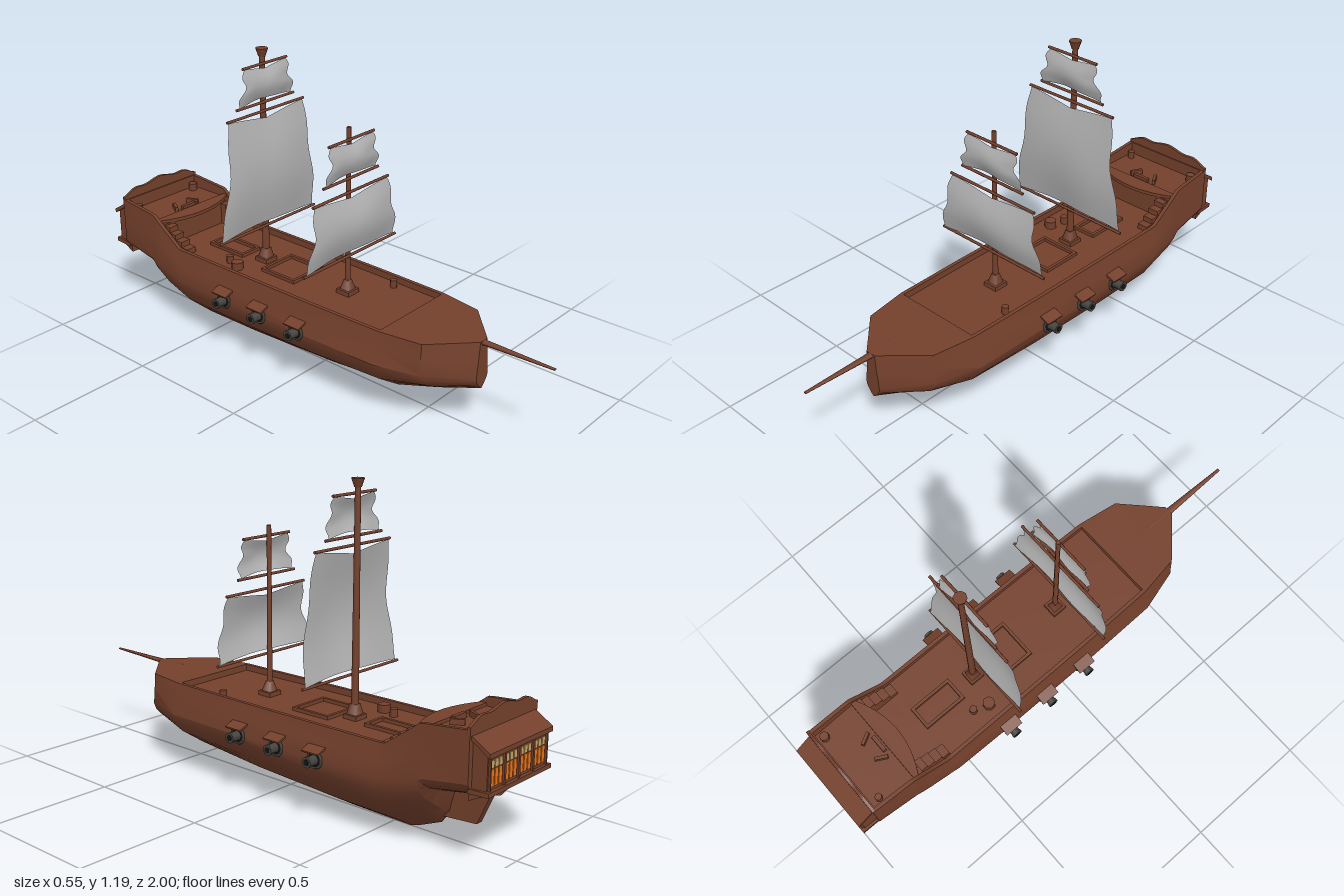
import * as THREE from 'three';
import { toCreasedNormals } from 'three/addons/utils/BufferGeometryUtils.js';

const material = (name, color, side = THREE.FrontSide) => {
  const m = new THREE.MeshStandardMaterial({ color, side });
  m.name = name;
  return m;
};

export function createModel() {
  const ship = new THREE.Group();
  ship.name = 'sailingShip';
  const wood = material('brownWood', 0x74402c);
  const canvas = material('greyCanvas', 0xb4b4b4, THREE.DoubleSide);
  const iron = material('darkIron', 0x45433e);
  const bore = material('blackBore', 0x151515);
  const glow = material('orangeGlass', 0xe8741c);
  const pale = material('paleGlass', 0xc9a468);

  const add = (name, geo, mat, x = 0, y = 0, z = 0, parent = ship) => {
    const m = new THREE.Mesh(geo, mat);
    m.name = name;
    m.position.set(x, y, z);
    parent.add(m);
    return m;
  };
  const box = (name, w, h, d, x, y, z, mat = wood) =>
    add(name, new THREE.BoxGeometry(w, h, d), mat, x, y, z);
  // Side outline given as (z, y), extruded across the ship
  const sidePlate = (name, pts, width) => {
    const s = new THREE.Shape(pts.map(([z, y]) => new THREE.Vector2(-z, y)));
    const g = new THREE.ExtrudeGeometry(s, { depth: width, bevelEnabled: false });
    g.translate(0, 0, -width / 2).rotateY(Math.PI / 2);
    return add(name, g, wood);
  };

  // Hull, bulwarks and decks: one loft from bow to stern
  // [z, keel y, widest y, rail y, deck y, widest half width, rail half width]
  const stations = [
    [0.72, 0.17, 0.22, 0.36, 0.36, 0.034, 0.02],
    [0.58, 0.12, 0.24, 0.36, 0.36, 0.175, 0.165],
    [0.41, 0.058, 0.24, 0.36, 0.36, 0.222, 0.192],
    [0.41, 0.058, 0.24, 0.36, 0.335, 0.222, 0.192],
    [0.1, 0.027, 0.24, 0.36, 0.335, 0.228, 0.198],
    [-0.3, 0.005, 0.24, 0.36, 0.335, 0.228, 0.2],
    [-0.57, 0.0, 0.24, 0.36, 0.335, 0.223, 0.2],
    [-0.6, 0.008, 0.245, 0.362, 0.335, 0.22, 0.2],
    [-0.7, 0.05, 0.26, 0.432, 0.335, 0.212, 0.2],
    [-0.7, 0.05, 0.26, 0.432, 0.43, 0.212, 0.2],
    [-0.74, 0.1, 0.27, 0.463, 0.43, 0.208, 0.2],
    [-0.76, 0.18, 0.28, 0.466, 0.43, 0.206, 0.199],
    [-0.915, 0.208, 0.3, 0.48, 0.43, 0.196, 0.195],
    [-0.915, 0.208, 0.3, 0.48, 0.48, 0.196, 0.195],
    [-0.93, 0.21, 0.3, 0.48, 0.48, 0.195, 0.195],
  ];
  const lower = [[0, 0], [0.3, 0.17], [0.57, 0.39], [0.8, 0.58], [0.94, 0.79], [1, 1]];
  const rings = stations.map(([z, yb, ym, yt, yd, wm, wt]) => {
    const inner = Math.max(wt - 0.015, wt * 0.4);
    const half = lower.map(([u, v]) => [u * wm, yb + v * (ym - yb)]);
    half.push([wt * 0.55 + wm * 0.45, (ym + yt) / 2], [wt, yt], [inner, yt], [inner, yd], [0, yd]);
    const other = half.slice(1, -1).reverse().map(([x, y]) => [-x, y]);
    return [...half, ...other].map(([x, y]) => [x, y, z]);
  });
  const n = rings[0].length;
  const index = [];
  for (let i = 0; i < rings.length - 1; i++) {
    for (let j = 0; j < n; j++) {
      const k = (j + 1) % n;
      const a = i * n + j, b = i * n + k, c = a + n, d = b + n;
      index.push(a, c, b, b, c, d);
    }
  }
  const last = (rings.length - 1) * n;
  for (let j = 1; j < n - 1; j++) {
    index.push(0, j, j + 1, last, last + j + 1, last + j);
  }
  const hull = new THREE.BufferGeometry();
  hull.setAttribute('position', new THREE.Float32BufferAttribute(rings.flat(2), 3));
  hull.setIndex(index);
  add('hull', toCreasedNormals(hull, 0.55), wood);

  // Rudder under the stern
  sidePlate('rudder', [[-0.71, 0.08], [-0.85, 0.09], [-0.9, 0.205], [-0.74, 0.19]], 0.03);

  // Bowsprit
  const sprit = add('bowsprit', new THREE.CylinderGeometry(0.006, 0.018, 0.4, 8), wood, 0, 0.353, 0.8);
  sprit.rotation.x = Math.PI / 2 - 0.012;
  sprit.scale.z = 0.6;

  // Quarterdeck lip with a curved front edge
  const lip = new THREE.Shape();
  lip.moveTo(-0.185, 0.74);
  lip.lineTo(-0.185, 0.72);
  lip.quadraticCurveTo(0, 0.62, 0.185, 0.72);
  lip.lineTo(0.185, 0.74);
  const lipGeo = new THREE.ExtrudeGeometry(lip, { depth: 0.014, bevelEnabled: false, curveSegments: 12 });
  add('quarterdeckLip', lipGeo.rotateX(-Math.PI / 2), wood, 0, 0.428, 0);

  // Stairs on both sides
  for (const s of [-1, 1]) {
    for (let i = 0; i < 4; i++) {
      const h = 0.022 * (i + 1);
      box('stairStep', 0.045, h, 0.033, s * 0.155, 0.335 + h / 2, -0.59 - i * 0.033);
    }
  }

  // Hatch frames
  const hatch = (w, d, z) => {
    const shape = new THREE.Shape([[-w, -d], [w, -d], [w, d], [-w, d]].map(p => new THREE.Vector2(...p)));
    const a = w - 0.012, b = d - 0.012;
    shape.holes.push(new THREE.Path([[-a, -b], [-a, b], [a, b], [a, -b]].map(p => new THREE.Vector2(...p))));
    const g = new THREE.ExtrudeGeometry(shape, { depth: 0.014, bevelEnabled: false });
    add('hatchFrame', g.rotateX(-Math.PI / 2), wood, 0, 0.334, z);
  };
  hatch(0.085, 0.085, -0.17);
  hatch(0.05, 0.092, -0.485);

  // Barrels on the decks: x, z, radius, deck height
  for (const [x, z, r, y] of [[-0.13, -0.34, 0.024, 0.335], [-0.11, -0.4, 0.015, 0.335],
    [0.148, 0.21, 0.014, 0.335], [-0.155, -0.88, 0.014, 0.43], [0.15, -0.89, 0.018, 0.43]]) {
    add('barrel', new THREE.CylinderGeometry(r, r, 0.03, 7), wood, x, y + 0.015, z);
  }

  // Low bench on the quarterdeck
  box('bench', 0.07, 0.02, 0.015, 0, 0.44, -0.755);
  for (const s of [-1, 1]) {
    box('benchWing', 0.012, 0.02, 0.05, s * 0.047, 0.44, -0.782).rotation.y = s * 0.5;
  }

  // Wavy taffrail across the stern
  const rail = new THREE.Shape();
  rail.moveTo(-0.195, 0.46);
  for (let i = 0; i <= 32; i++) {
    const x = -0.195 + (0.39 * i) / 32;
    const u = Math.abs(x) / 0.195;
    rail.lineTo(x, 0.5 + 0.03 * (1 - u) + 0.01 * Math.cos(u * Math.PI * 3) * u);
  }
  rail.lineTo(0.195, 0.46);
  add('taffrail', new THREE.ExtrudeGeometry(rail, { depth: 0.012, bevelEnabled: false }), wood, 0, 0, -0.932);

  // Stern gallery with roof, ledge and windows
  sidePlate('gallery', [[-0.92, 0.24], [-0.92, 0.45], [-0.986, 0.41], [-0.986, 0.275]], 0.35);
  sidePlate('galleryRoof', [[-0.92, 0.452], [-0.92, 0.468], [-1, 0.417], [-1, 0.4]], 0.37);
  sidePlate('galleryLedge', [[-0.92, 0.268], [-0.92, 0.284], [-1, 0.288], [-1, 0.272]], 0.37);
  for (let i = 0; i < 4; i++) {
    const x = -0.126 + i * 0.084;
    for (let j = -1; j <= 1; j++) {
      const px = x + j * 0.023;
      box('windowPane', 0.018, 0.058, 0.004, px, 0.327, -0.987, glow);
      box('windowTopPane', 0.018, 0.027, 0.004, px, 0.373, -0.987, pale);
    }
    for (const e of [-0.04, 0.04]) box('windowPost', 0.006, 0.118, 0.01, x + e, 0.345, -0.989);
  }

  // Gun ports, cannons and lids on both sides
  for (const s of [-1, 1]) {
    for (const z of [0.055, -0.135, -0.32]) {
      const gun = new THREE.Group();
      gun.name = 'cannon';
      gun.position.set(s * 0.225, 0.242, z);
      gun.rotation.y = s > 0 ? 0 : Math.PI;
      ship.add(gun);
      const tube = (name, r1, r2, len, x, mat) => {
        const g = new THREE.CylinderGeometry(r1, r2, len, 14).rotateZ(-Math.PI / 2);
        return add(name, g, mat, x, 0, 0, gun);
      };
      tube('barrelOfCannon', 0.017, 0.02, 0.07, 0.011, iron);
      tube('muzzleBand', 0.02, 0.02, 0.01, 0.041, iron);
      tube('muzzleBore', 0.011, 0.011, 0.003, 0.0465, bore);
      const ring = new THREE.TorusGeometry(0.03, 0.005, 6, 18).rotateY(Math.PI / 2);
      add('portRing', ring, iron, 0.002, 0, 0, gun);
      tube('portOpening', 0.029, 0.029, 0.01, 0, bore);
      const lid = add('portLid', new THREE.BoxGeometry(0.045, 0.007, 0.076), wood, 0.008, 0.038, 0, gun);
      lid.rotation.z = -0.35;
    }
  }

  // Masts
  const mast = (name, z, top, r) => {
    const h = top - 0.335;
    add(name, new THREE.CylinderGeometry(r * 0.75, r, h, 8), wood, 0, 0.335 + h / 2, z);
    const foot = new THREE.CylinderGeometry(r * 1.4, 0.036, 0.055, 4).rotateY(Math.PI / 4);
    add(name + 'Foot', foot, wood, 0, 0.362, z);
    box(name + 'Plinth', 0.06, 0.02, 0.06, 0, 0.342, z);
  };
  mast('foremast', 0.11, 0.985, 0.011);
  mast('mainMast', -0.31, 1.18, 0.014);
  const nest = new THREE.CylinderGeometry(0.024, 0.013, 0.032, 8);
  add('crowsNest', nest, wood, 0, 1.176, -0.31);

  // Sails hang between two yards, billow forward and have wavy edges
  const sail = (name, z, yTop, yBottom, wTop, wBottom, bulge, sag, wave) => {
    const g = new THREE.PlaneGeometry(2, 1, 20, 20);
    const p = g.attributes.position;
    for (let i = 0; i < p.count; i++) {
      const u = p.getX(i), v = 0.5 - p.getY(i);
      const w = wTop + (wBottom - wTop) * v
        + wave * Math.sin(v * Math.PI * 3.2 + (u > 0 ? 0.5 : 0)) * Math.sqrt(v * (1.02 - v)) * 2;
      const drop = sag * Math.pow(1 - Math.abs(u), 1.2) * (1 - v);
      const rise = 0.012 * (1 - u * u) * v;
      p.setXYZ(i, u * w, yTop - drop + (yBottom - yTop) * v + rise,
        z + bulge * Math.sin(v * Math.PI) * (1 - 0.4 * u * u) + 0.004 * Math.sin(u * 5) * v);
    }
    g.computeVertexNormals();
    add(name, g, canvas);
    for (const [y, w] of [[yTop + 0.004, wTop + 0.008], [yBottom - 0.004, wBottom + 0.008]]) {
      const yard = new THREE.CylinderGeometry(0.0055, 0.0055, w * 2, 8).rotateZ(Math.PI / 2);
      add(name + 'Yard', yard, wood, 0, y, z);
    }
  };
  sail('foreLowerSail', 0.125, 0.741, 0.498, 0.2, 0.25, 0.028, 0.02, 0.01);
  sail('foreUpperSail', 0.123, 0.94, 0.802, 0.115, 0.143, 0.018, 0.015, 0.013);
  sail('mainLowerSail', -0.293, 0.954, 0.498, 0.195, 0.255, 0.032, 0.025, 0.008);
  sail('mainUpperSail', -0.296, 1.134, 0.995, 0.107, 0.143, 0.018, 0.015, 0.013);

  return ship;
}
